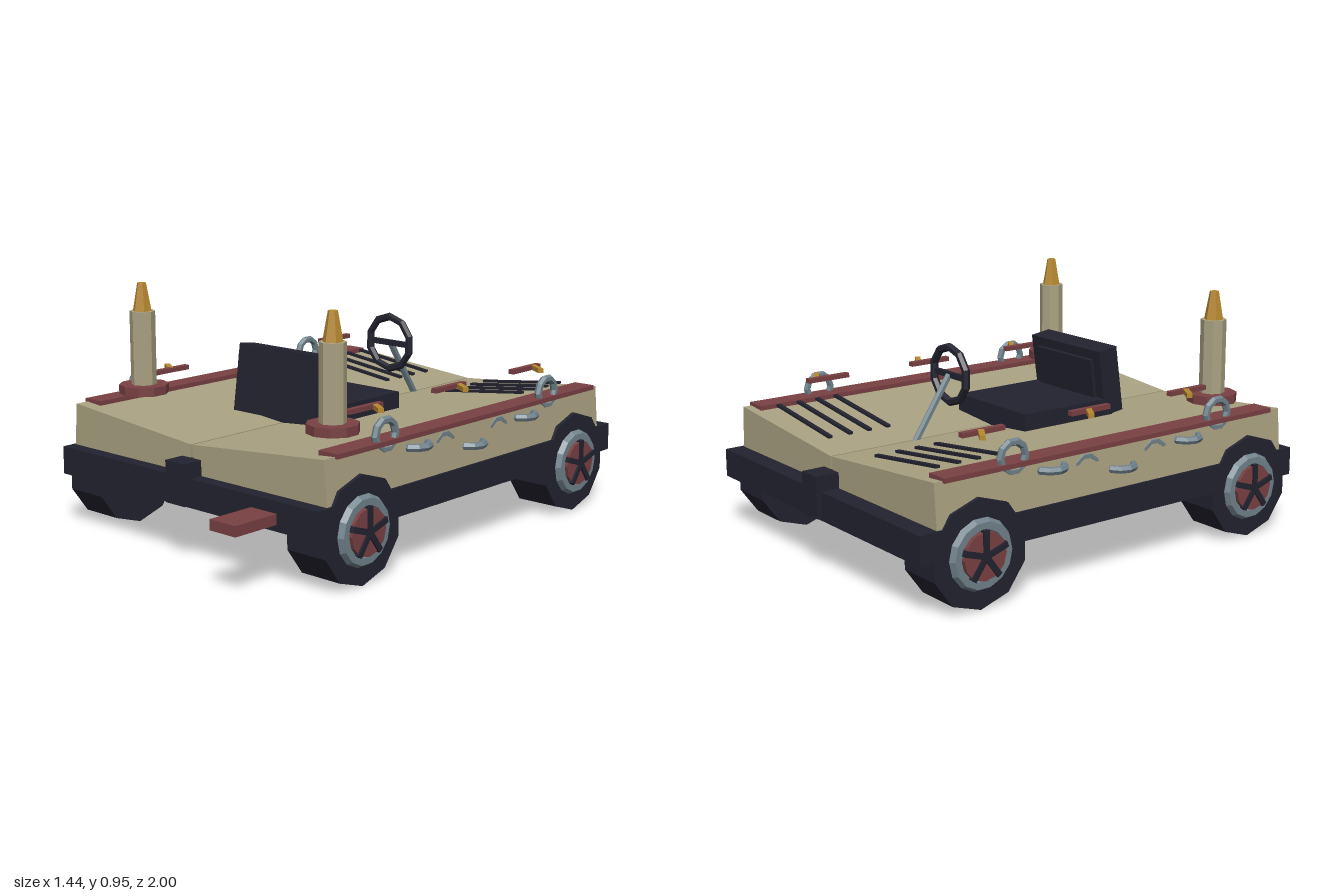
import * as THREE from 'three';

const mat = (name, color) => {
  const m = new THREE.MeshStandardMaterial({ color, flatShading: true });
  m.name = name;
  return m;
};

export function createModel() {
  const tan = mat('tan', 0xaaa282);
  const dark = mat('dark', 0x232330);
  const red = mat('red', 0x7a4143);
  const steel = mat('steel', 0x70828c);
  const gold = mat('gold', 0xb88930);

  const model = new THREE.Group();
  model.name = 'openCart';

  const add = (name, geometry, material, x, y, z, parent = model) => {
    const mesh = new THREE.Mesh(geometry, material);
    mesh.name = name;
    mesh.position.set(x, y, z);
    parent.add(mesh);
    return mesh;
  };
  const box = (w, h, d) => new THREE.BoxGeometry(w, h, d);
  // Cylinder lying along x
  const disc = (r, w, n) => new THREE.CylinderGeometry(r, r, w, n).rotateZ(Math.PI / 2);

  // Chassis, bumper blocks and front plate
  add('chassis', box(1.36, 0.11, 1.78), dark, 0, 0.265, -0.09);
  add('frontBumperBlock', box(0.1, 0.16, 0.09), dark, 0, 0.3, 0.785);
  add('rearBumperBlock', box(0.1, 0.16, 0.1), dark, 0, 0.3, -0.95);
  add('frontPlate', box(0.125, 0.04, 0.22), red, 0.423, 0.255, 0.89);

  for (const s of [-1, 1]) {
    const side = s > 0 ? 'left' : 'right';

    // Deck half, tilted up toward the outside, with vent slats
    const deck = new THREE.Group();
    deck.name = side + 'Deck';
    deck.position.set(s * 0.004, 0.43, -0.08);
    deck.rotation.z = s * 0.085;
    add('deckPanel', box(0.655, 0.2, 1.65), tan, s * 0.3275, -0.1, 0, deck);
    model.add(deck);
    for (const z of [-0.81, -0.72, -0.635, -0.55]) {
      const slat = add('ventSlat', box(0.39, 0.01, 0.018), dark, s * 0.352, 0.476, z);
      slat.rotation.z = s * 0.12;
    }

    // Side rail
    add(side + 'Rail', box(0.09, 0.018, 1.56), red, s * 0.625, 0.488, -0.09);

    // Chain of alternating links sagging along the side
    for (let i = -3; i <= 3; i++) {
      const link = new THREE.TorusGeometry(0.055, 0.015, 6, 10);
      if (i % 2) link.rotateY(Math.PI / 2);
      else link.rotateX(Math.PI / 2);
      add('chainLink', link, steel, s * 0.648, 0.395 + 0.12 * (i / 3) ** 2, -0.075 + i * 0.1635);
    }

    // Wheels with ring, hub and five spokes
    for (const z of [0.57, -0.73]) {
      const wheel = new THREE.Group();
      wheel.name = side + (z > 0 ? 'FrontWheel' : 'RearWheel');
      wheel.position.set(0, 0.203, z);
      model.add(wheel);
      const tire = new THREE.CylinderGeometry(0.203, 0.203, 0.18, 10);
      tire.rotateZ(Math.PI / 2).rotateX(Math.PI / 2 * 2);
      // Vertices point straight up and down
      tire.rotateX(Math.PI / 2);
      add('tire', tire, dark, s * 0.59, 0, 0, wheel);
      add('wheelRing', new THREE.TorusGeometry(0.108, 0.027, 6, 14).rotateY(Math.PI / 2), steel, s * 0.677, 0, 0, wheel);
      add('hub', disc(0.09, 0.05, 12), red, s * 0.685, 0, 0, wheel);
      for (let k = 0; k < 5; k++) {
        const spoke = add('spoke', box(0.02, 0.095, 0.022).translate(0, 0.0475, 0), dark, s * 0.708, 0, 0, wheel);
        spoke.rotation.x = k * Math.PI * 2 / 5;
      }
    }

    // Candle post: base, column and tapered flame
    const post = new THREE.Group();
    post.name = side + 'Post';
    post.position.set(s * 0.502, 0, 0.53);
    model.add(post);
    add('postBase', new THREE.CylinderGeometry(0.098, 0.098, 0.035, 10), red, 0, 0.537, 0, post);
    add('postColumn', new THREE.CylinderGeometry(0.05, 0.05, 0.29, 8), tan, 0, 0.7, 0, post);
    add('postTip', new THREE.CylinderGeometry(0.018, 0.038, 0.11, 6), gold, 0, 0.9, 0, post);

    // Deck bars with slanted grips
    for (const z of [0.38, -0.11, -0.6]) {
      add('deckBar', box(0.024, 0.018, 0.185), red, s * 0.517, 0.585, z);
      const grip = add('deckGrip', box(0.085, 0.018, 0.022), gold, s * 0.555, 0.585, z - 0.03);
      grip.rotation.y = -0.57;
    }
  }

  // Seat
  add('seatCushion', box(0.43, 0.085, 0.44), dark, 0, 0.472, 0.045);
  const back = add('seatBack', box(0.425, 0.265, 0.09), dark, 0, 0.583, 0.258);
  back.rotation.x = -0.14;
  add('seatBackPad', box(0.34, 0.19, 0.02), dark, 0, 0, -0.05, back);

  // Steering wheel and slanted column
  add('steeringWheel', new THREE.TorusGeometry(0.108, 0.016, 6, 10).rotateZ(Math.PI / 10), dark, 0, 0.66, -0.37);
  add('steeringBar', box(0.2, 0.022, 0.016), dark, 0, 0.66, -0.37);
  const top = new THREE.Vector3(0, 0.66, -0.375);
  const foot = new THREE.Vector3(0, 0.42, -0.535);
  const mid = top.clone().add(foot).multiplyScalar(0.5);
  const column = add('steeringColumn', new THREE.CylinderGeometry(0.014, 0.014, top.distanceTo(foot), 6), steel, mid.x, mid.y, mid.z);
  column.quaternion.setFromUnitVectors(new THREE.Vector3(0, 1, 0), top.clone().sub(foot).normalize());

  return model;
}
